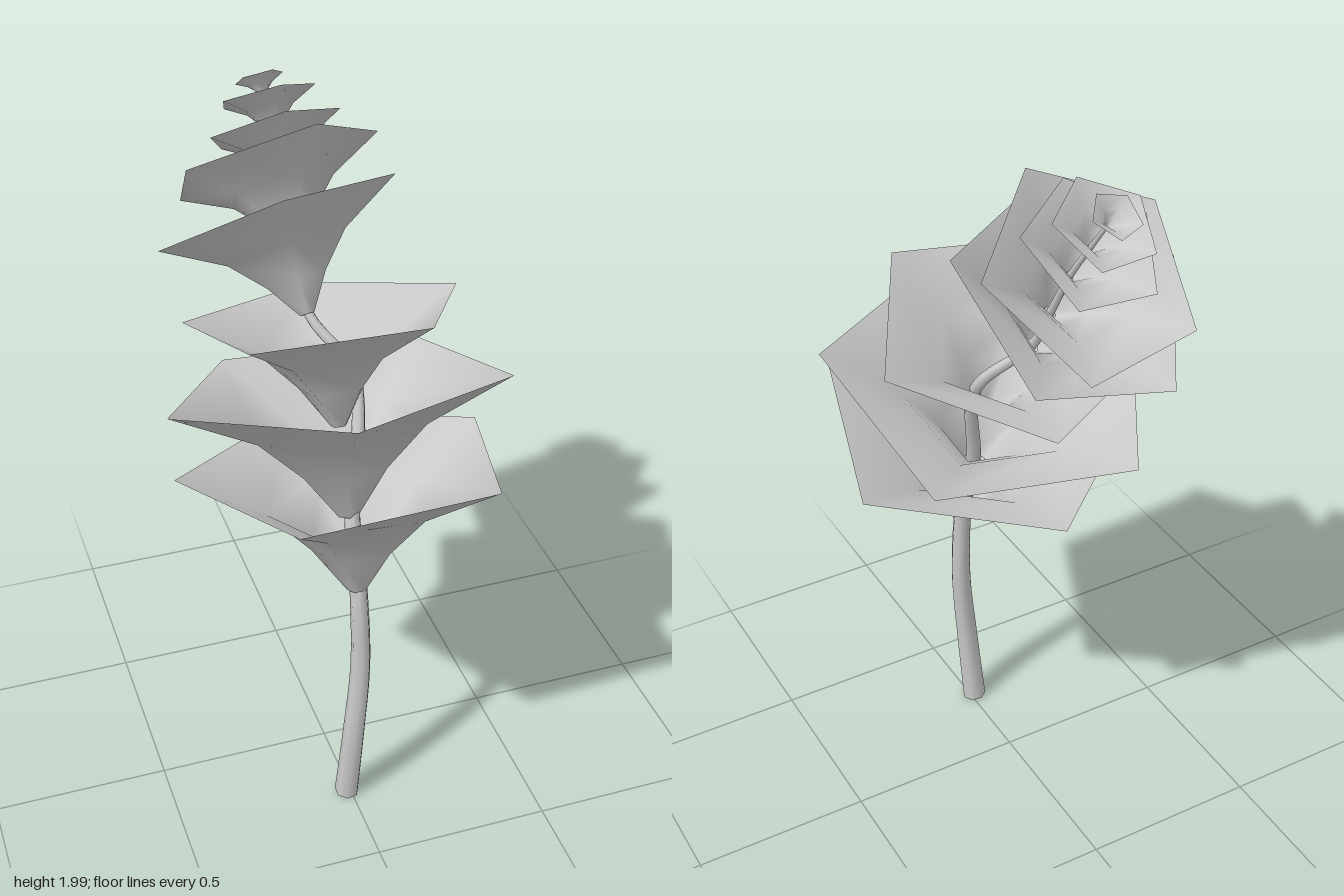
import * as THREE from 'three';

const material = new THREE.MeshStandardMaterial({ color: 0xcccccc, side: THREE.DoubleSide });

// Flower tiers, low to high: rim centre, rim radius, corner angle in degrees,
// and the rim's rise towards +z and +x
const TIERS = [
  { centre: [0.015, 1.11, 0.15], radius: 0.455, turn: -93, riseZ: 0.245, riseX: 0 },
  { centre: [0.014, 1.306, 0.048], radius: 0.465, turn: 29, riseZ: 0.33, riseX: 0 },
  { centre: [0.01, 1.478, -0.02], radius: 0.385, turn: -8, riseZ: 0.33, riseX: 0.02 },
  { centre: [-0.06, 1.66, -0.23], radius: 0.335, turn: 25, riseZ: 0.73, riseX: 0.18 },
  { centre: [-0.04, 1.772, -0.323], radius: 0.295, turn: 5, riseZ: 0.85, riseX: 0.135 },
  { centre: [-0.03, 1.855, -0.345], radius: 0.185, turn: 90, riseZ: 0.75, riseX: 0.1 },
  { centre: [-0.035, 1.928, -0.385], radius: 0.135, turn: 12, riseZ: 0.65, riseX: 0.08 },
  { centre: [-0.04, 1.965, -0.42], radius: 0.067, turn: -4, riseZ: 0.7, riseX: 0.1 },
];

// Five-sided flared cup, with its rim at the local origin
function makeTier({ centre, radius, turn, riseZ, riseX }) {
  const depth = radius * 0.79;
  const profile = [[0.06, 0], [0.25, 0.35], [0.5, 0.67], [1, 1]].map(
    ([r, t]) => new THREE.Vector2(r * radius, (t - 1) * depth));
  const start = THREE.MathUtils.degToRad(90 - turn);
  const cup = new THREE.Mesh(new THREE.LatheGeometry(profile, 5, start), material);
  cup.position.set(...centre);
  const axis = new THREE.Vector3(-riseX, 1, -riseZ).normalize();
  cup.quaternion.setFromUnitVectors(new THREE.Vector3(0, 1, 0), axis);
  return cup;
}

// Tube whose rings shrink from the base upwards
function makeStem() {
  const path = new THREE.CatmullRomCurve3([
    [-0.011, 0.012, 0.245], [0.003, 0.25, 0.26], [0.022, 0.5, 0.255], [0.02, 0.76, 0.235],
    [0.025, 0.98, 0.16], [0.065, 1.2, 0.09], [0.07, 1.32, 0.02], [-0.018, 1.45, -0.08],
    [-0.02, 1.6, -0.175], [-0.02, 1.74, -0.26], [-0.03, 1.85, -0.335], [-0.035, 1.92, -0.385],
  ].map(p => new THREE.Vector3(...p)));
  const steps = 60, sides = 7;
  const geometry = new THREE.TubeGeometry(path, steps, 1, sides);
  const pos = geometry.attributes.position;
  const point = new THREE.Vector3();
  for (let i = 0; i <= steps; i++) {
    const t = i / steps;
    const radius = t < 0.35 ? 0.035 - 0.028 * t : 0.025 - 0.03 * (t - 0.35);
    const middle = path.getPointAt(t);
    for (let j = 0; j <= sides; j++) {
      const k = i * (sides + 1) + j;
      point.fromBufferAttribute(pos, k).sub(middle).multiplyScalar(radius).add(middle);
      pos.setXYZ(k, point.x, point.y, point.z);
    }
  }
  const stem = new THREE.Group();
  const stalk = new THREE.Mesh(geometry, material);
  stalk.name = 'stalk';

  // Cut end at the foot, facing down
  const cut = new THREE.Mesh(new THREE.CircleGeometry(0.034, sides), material);
  cut.name = 'stalkEnd';
  cut.position.copy(path.getPointAt(0));
  cut.quaternion.setFromUnitVectors(
    new THREE.Vector3(0, 0, 1), path.getTangentAt(0).negate());
  stem.add(stalk, cut);
  return stem;
}

export function createModel() {
  const model = new THREE.Group();
  model.name = 'flowerSpike';
  const stem = makeStem();
  stem.name = 'stem';
  model.add(stem);
  TIERS.forEach((tier, i) => {
    const cup = makeTier(tier);
    cup.name = `petalCup${i + 1}`;
    model.add(cup);
  });
  return model;
}
